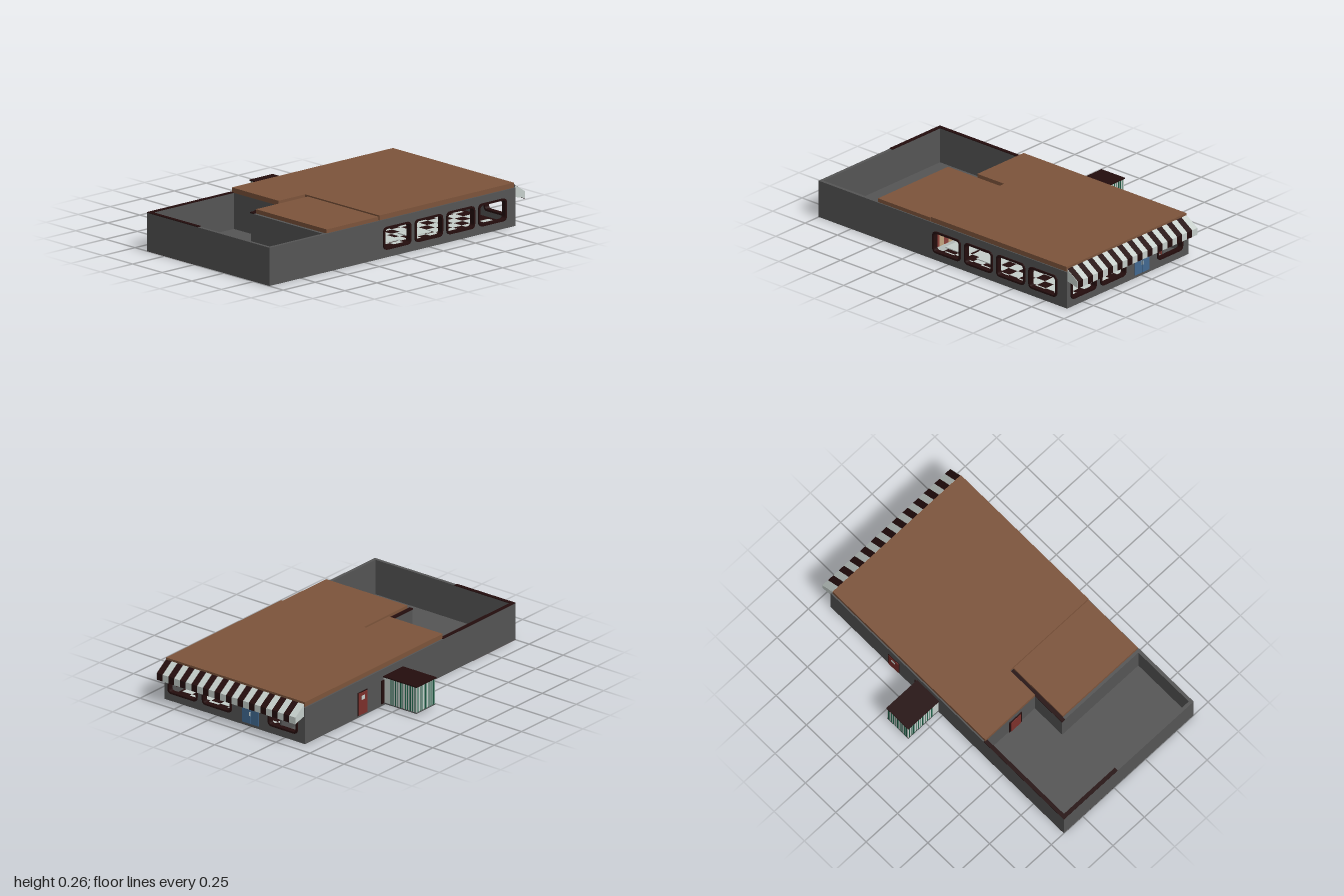
import * as THREE from 'three';

const mat = (name, color) => new THREE.MeshStandardMaterial({ name, color });

export function createModel() {
  const root = new THREE.Group();
  root.name = 'diner';
  const M = {
    wall: mat('wallGray', 0x555555),
    roof: mat('roofBrown', 0x7d543b),
    black: mat('darkTrim', 0x240d0d),
    white: mat('paleWhite', 0xc6cfcb),
    red: mat('curtainRed', 0x8c4039),
    tan: mat('wallTan', 0xc2a57f),
    green: mat('darkGreen', 0x1f6249),
    blue: mat('doorBlue', 0x426a92),
    doorRed: mat('doorRed', 0x7c302b),
  };

  const group = (name, parent = root) => {
    const g = new THREE.Group();
    g.name = name;
    parent.add(g);
    return g;
  };
  const add = (name, geo, material, parent = root) => {
    const m = new THREE.Mesh(geo, material);
    m.name = name;
    parent.add(m);
    return m;
  };
  // box given by its minimum and maximum on each axis
  const box = (name, material, x0, x1, y0, y1, z0, z1, parent = root) => {
    const m = add(name, new THREE.BoxGeometry(x1 - x0, y1 - y0, z1 - z0), material, parent);
    m.position.set((x0 + x1) / 2, (y0 + y1) / 2, (z0 + z1) / 2);
    return m;
  };
  const rounded = (C, x0, x1, y0, y1, r) => {
    const s = new C();
    s.moveTo(x0 + r, y0);
    s.lineTo(x1 - r, y0); s.quadraticCurveTo(x1, y0, x1, y0 + r);
    s.lineTo(x1, y1 - r); s.quadraticCurveTo(x1, y1, x1 - r, y1);
    s.lineTo(x0 + r, y1); s.quadraticCurveTo(x0, y1, x0, y1 - r);
    s.lineTo(x0, y0 + r); s.quadraticCurveTo(x0, y0, x0 + r, y0);
    return s;
  };
  const extrude = (shape, depth) =>
    new THREE.ExtrudeGeometry(shape, { depth, bevelEnabled: false, curveSegments: 5 });

  // wall in its own plane, outer face at local z = 0, with framed openings
  const H = 0.227, T = 0.02, Y0 = 0.047, Y1 = 0.182;
  const windowWall = (name, u0, u1, windows) => {
    const g = group(name);
    const s = new THREE.Shape([[u0, 0], [u1, 0], [u1, H], [u0, H]].map(p => new THREE.Vector2(...p)));
    const frames = group('windowFrames', g);
    for (const [a, b] of windows) {
      s.holes.push(rounded(THREE.Path, a + 0.006, b - 0.006, Y0 + 0.006, Y1 - 0.006, 0.024));
      const ring = rounded(THREE.Shape, a, b, Y0, Y1, 0.03);
      ring.holes.push(rounded(THREE.Path, a + 0.011, b - 0.011, Y0 + 0.011, Y1 - 0.011, 0.02));
      add('windowFrame', extrude(ring, 0.033), M.black, frames).position.z = -0.024;
    }
    add('wallPanel', extrude(s, T), M.wall, g).position.z = -T;
    return g;
  };

  // outer walls
  windowWall('frontWall', -1, 0.92, [[-0.115, 0.1], [0.13, 0.347], [0.378, 0.597], [0.627, 0.845]]).position.z = 0.635;
  const side = windowWall('sideWall', -0.615, 0.38, [[-0.607, -0.39], [-0.354, -0.137], [0.13, 0.347]]);
  side.rotation.y = Math.PI / 2;
  side.position.x = 0.92;
  box('backWall', M.wall, -1, 0.92, 0, H, -0.4, -0.38);
  box('yardSideWall', M.wall, -1, -0.98, 0, H, -0.38, 0.615);

  // base and floors
  box('floorSlab', M.wall, -0.98, 0.9, 0.002, 0.012, -0.38, 0.615);
  box('yardUnderside', M.black, -0.999, -0.34, -0.0, 0.004, -0.399, 0.03);
  box('yardUnderTrim', M.black, -1, -0.34, -0.001, 0, -0.4, 0.03);

  // building walls facing the yard
  box('rearRoomWall', M.wall, -0.34, -0.32, 0.01, 0.232, -0.38, 0.01);
  box('cornerWall', M.wall, -0.565, -0.14, 0.01, 0.225, 0.008, 0.03);
  box('frontRoomWall', M.wall, -0.565, -0.545, 0.01, 0.225, 0.03, 0.615);

  // dark coping on the walls
  const coping = group('coping');
  box('backCoping', M.black, -1, -0.34, H, 0.231, -0.4, -0.376, coping);
  box('sideCoping', M.black, -1, -0.976, H, 0.231, -0.376, 0.03, coping);
  box('cornerCoping', M.black, -0.567, -0.14, 0.225, 0.232, 0.004, 0.03, coping);

  // roofs: L-shaped main slab and lower slab in its notch
  const plan = [[-0.345, 0.392], [0.912, 0.392], [0.912, -0.63], [-0.138, -0.63], [-0.138, -0.004], [-0.345, -0.004]];
  const mainRoof = add('mainRoof', extrude(new THREE.Shape(plan.map(p => new THREE.Vector2(...p)).reverse()), 0.029), M.roof);
  mainRoof.rotation.x = -Math.PI / 2;
  mainRoof.position.y = 0.228;
  box('lowerRoof', M.roof, -0.547, -0.142, 0.225, 0.25, 0.03, 0.628);

  // striped awning from a folded cross-section
  const awning = group('awning');
  const N = 24, Z0 = 0.628, step = 1.016 / N;
  const section = [[0.916, 0.246], [0.998, 0.19], [0.998, 0.147], [0.992, 0.147], [0.992, 0.186], [0.916, 0.238]];
  const profile = new THREE.Shape(section.map(p => new THREE.Vector2(...p)).reverse());
  for (let i = 0; i < N; i++) {
    add('awningStripe', extrude(profile, step), i % 2 ? M.white : M.black, awning).position.z = Z0 - (i + 1) * step;
  }
  const cheek = new THREE.Shape([[0.92, 0.17], [0.998, 0.15], [0.998, 0.19], [0.918, 0.243]].map(p => new THREE.Vector2(...p)));
  for (const z of [Z0, Z0 - 1.016 - 0.003]) add('awningEnd', extrude(cheek, 0.003), M.white, awning).position.z = z;

  // blue double door on the side
  const entry = group('sideDoor');
  for (const s of [-1, 1]) {
    box('doorLeaf', M.blue, 0.915, 0.925, 0.018, 0.165, s > 0 ? 0.0008 : -0.061, s > 0 ? 0.061 : -0.0008, entry);
    box('doorHandle', M.white, 0.925, 0.928, 0.068, 0.093, s * 0.005 - 0.0015, s * 0.005 + 0.0015, entry);
  }

  // red back door
  const backDoor = group('backDoor');
  box('doorFrame', M.black, 0.355, 0.443, 0.012, 0.156, -0.403, -0.398, backDoor);
  box('doorLeaf', M.doorRed, 0.36, 0.438, 0.014, 0.151, -0.406, -0.4, backDoor);
  box('doorPane', M.white, 0.385, 0.413, 0.105, 0.13, -0.408, -0.405, backDoor);

  // door from the rear room to the yard
  const yardDoor = group('yardDoor');
  box('doorFrame', M.black, -0.346, -0.338, 0.012, 0.16, -0.2, -0.1, yardDoor);
  box('doorLeaf', M.doorRed, -0.349, -0.342, 0.012, 0.15, -0.188, -0.112, yardDoor);

  // corrugated shed on the back
  const shed = group('shed');
  box('shedBody', M.white, 0.033, 0.203, 0.016, 0.176, -0.641, -0.4, shed);
  box('shedBase', M.wall, 0.03, 0.206, 0.012, 0.018, -0.643, -0.4, shed);
  box('shedRoof', M.black, 0.027, 0.208, 0.176, 0.183, -0.646, -0.4, shed);
  box('shedDoorFrame', M.black, 0.2, 0.226, 0.014, 0.16, -0.405, -0.398, shed);
  const widths = [0.009, 0.004, 0.006, 0.003];
  for (let i = 0; i < 11; i++) {
    const w = widths[i % 4], z = -0.45 - i * 0.0178;
    for (const x of [0.033, 0.203]) box('sideRib', M.green, x - 0.002, x + 0.002, 0.018, 0.176, z - w, z, shed);
  }
  for (let i = 0; i < 9; i++) {
    const w = widths[i % 4], x = 0.042 + i * 0.018;
    box('backRib', M.green, x, x + w, 0.018, 0.176, -0.643, -0.64, shed);
  }

  // dining room: chequered floor
  const room = group('diningRoom');
  const tile = 0.07;
  box('floorDark', M.black, -0.14, 0.9, 0.012, 0.014, -0.2, 0.615, room);
  for (let i = 0; i < 14; i++) for (let j = 0; j < 11; j++) {
    if ((i + j) % 2) continue;
    const x = -0.11 + i * tile, z = -0.17 + j * tile;
    box('floorTile', M.white, x, x + tile, 0.014, 0.016, z, z + tile, room);
  }

  // striped inner walls with a pale band above and below
  box('rearPartition', M.wall, -0.14, 0.9, 0.012, 0.228, -0.21, -0.2, room);
  box('endPartition', M.wall, -0.14, -0.13, 0.012, 0.228, -0.38, 0.615, room);
  box('rearUpperBand', M.white, -0.13, 0.9, 0.148, 0.228, -0.2, -0.196, room);
  box('rearLowerBand', M.white, -0.13, 0.9, 0.014, 0.058, -0.2, -0.196, room);
  box('endUpperBand', M.white, -0.13, -0.126, 0.158, 0.228, -0.13, 0.615, room);
  box('endLowerBand', M.white, -0.13, -0.126, 0.014, 0.055, -0.13, 0.615, room);
  for (let i = 0; i < 28; i++) {
    const x = -0.125 + i * 0.0365;
    box('rearStripe', i % 2 ? M.red : M.tan, x, x + 0.0365, 0.058, 0.148, -0.2, -0.196, room);
  }
  for (let i = 0; i < 19; i++) {
    const z = -0.125 + i * 0.0385;
    box('endStripe', i % 2 ? M.tan : M.red, -0.13, -0.126, 0.055, 0.158, z, z + 0.0385, room);
  }
  // curtained wall behind the last side window
  for (let i = 0; i < 4; i++) {
    const z = -0.36 + i * 0.0375;
    box('rearRoomStripe', i % 2 ? M.red : M.tan, 0.6, 0.604, 0.05, 0.2, z, z + 0.0375, room);
  }
  box('greenPanel', M.green, -0.126, -0.12, 0.055, 0.158, 0.19, 0.26, room);

  // tables under the front windows and a counter
  for (const x of [0.0, 0.24]) box('tableTop', M.white, x - 0.08, x + 0.08, 0.06, 0.066, 0.46, 0.57, room);
  box('counter', M.white, 0.14, 0.2, 0.014, 0.085, -0.1, 0.1, room);
  box('partitionPost', M.black, 0.2, 0.207, 0.014, 0.17, -0.1, -0.09, room);
  return root;
}
